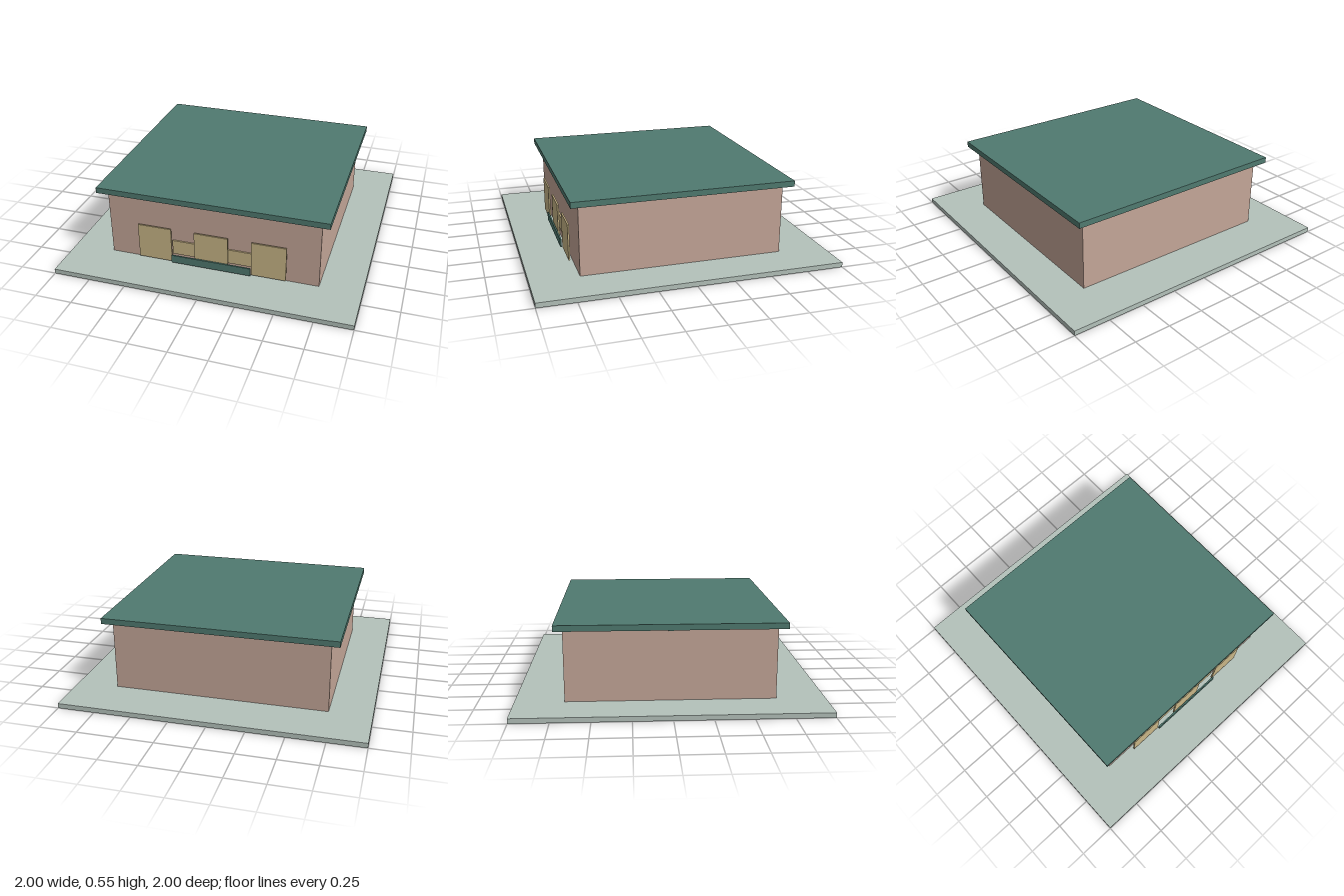
import * as THREE from 'three';

export function createModel() {
  const model = new THREE.Group();
  model.name = 'pavilion';

  const material = (name, color) => {
    const m = new THREE.MeshStandardMaterial({ color });
    m.name = name;
    return m;
  };
  const stone = material('pale stone', 0xb4c2bb);
  const plaster = material('rose plaster', 0xc4a698);
  const green = material('deep green', 0x507a70);
  const sand = material('sand', 0xc9b687);

  // Box given by its lower and upper corners
  const box = (name, mat, [x0, y0, z0], [x1, y1, z1], parent = model) => {
    const mesh = new THREE.Mesh(new THREE.BoxGeometry(x1 - x0, y1 - y0, z1 - z0), mat);
    mesh.position.set((x0 + x1) / 2, (y0 + y1) / 2, (z0 + z1) / 2);
    mesh.name = name;
    parent.add(mesh);
    return mesh;
  };

  // Main building
  box('baseSlab', stone, [-1, 0, -1], [1, 0.033, 1]);
  box('walls', plaster, [-0.72, 0.033, -0.68], [0.72, 0.508, 0.68]);
  box('roof', green, [-0.778, 0.508, -0.735], [0.778, 0.547, 0.735]);

  // Small blocks under the eaves, at the middle of the front and sides
  box('frontEaveBlock', green, [-0.016, 0.49, 0.676], [0.016, 0.508, 0.684]);
  for (const s of [-1, 1]) {
    const block = box('sideEaveBlock', green, [-0.004, 0.49, -0.016], [0.004, 0.508, 0.016]);
    block.position.x = s * 0.72;
  }

  // Layered panels standing in front of the facade
  const facade = new THREE.Group();
  facade.name = 'facadePanels';
  model.add(facade);
  box('lowBackPanel', sand, [-0.275, 0.1, 0.681], [0.275, 0.203, 0.691], facade);
  for (const [x, halfWidth] of [[-0.391, 0.116], [0, 0.115], [0.391, 0.116]]) {
    box('tallPanel', sand, [x - halfWidth, 0.053, 0.702], [x + halfWidth, 0.3, 0.713], facade);
  }
  box('frontRail', green, [-0.273, 0.053, 0.717], [0.273, 0.108, 0.727], facade);

  return model;
}
